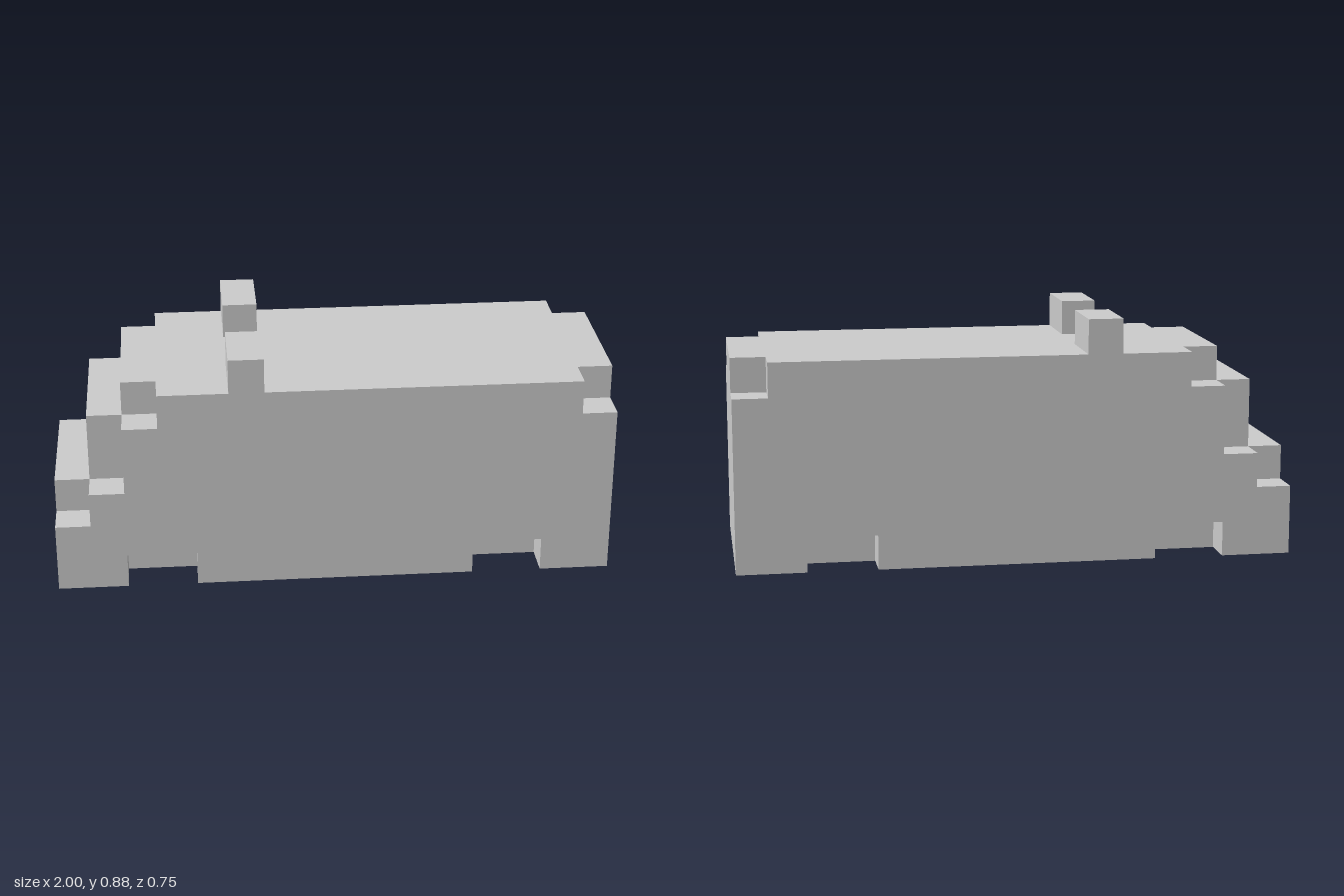
import * as THREE from 'three';

const U = 0.125; // one block

export function createModel() {
  const group = new THREE.Group();
  const material = new THREE.MeshStandardMaterial({ color: 0xcccccc, flatShading: true });

  // Extrudes a side profile, given in blocks, from z0 over a depth
  const slab = (name, points, z0, depth) => {
    const shape = new THREE.Shape(points.map(([x, y]) => new THREE.Vector2(x * U, y * U)));
    const geometry = new THREE.ExtrudeGeometry(shape, { depth: depth * U, bevelEnabled: false });
    geometry.translate(0, 0, z0 * U);
    const mesh = new THREE.Mesh(geometry, material);
    mesh.name = name;
    group.add(mesh);
  };

  // Core with a stepped nose at -x
  slab('bodyCore', [
    [-8, 0], [8, 0], [8, 6], [-6, 6], [-6, 5], [-7, 5], [-7, 3], [-8, 3],
  ], -2, 4);

  // Side layers: wheel notches below, corners cut back one step
  const side = [
    [-8, 0], [-6, 0], [-6, 1], [-4, 1], [-4, 0], [4, 0], [4, 1], [6, 1], [6, 0], [8, 0],
    [8, 5], [7, 5], [7, 6], [-5, 6], [-5, 5], [-6, 5], [-6, 3], [-7, 3], [-7, 2], [-8, 2],
  ];
  slab('leftSide', side, 2, 1);
  slab('rightSide', side, -3, 1);

  // Two raised blocks on the roof
  for (const s of [-1, 1]) {
    const block = new THREE.Mesh(new THREE.BoxGeometry(U, U, 2 * U), material);
    block.position.set(-2.5 * U, 6.5 * U, s * 2 * U);
    block.name = s > 0 ? 'frontRoofBlock' : 'backRoofBlock';
    group.add(block);
  }

  return group;
}
